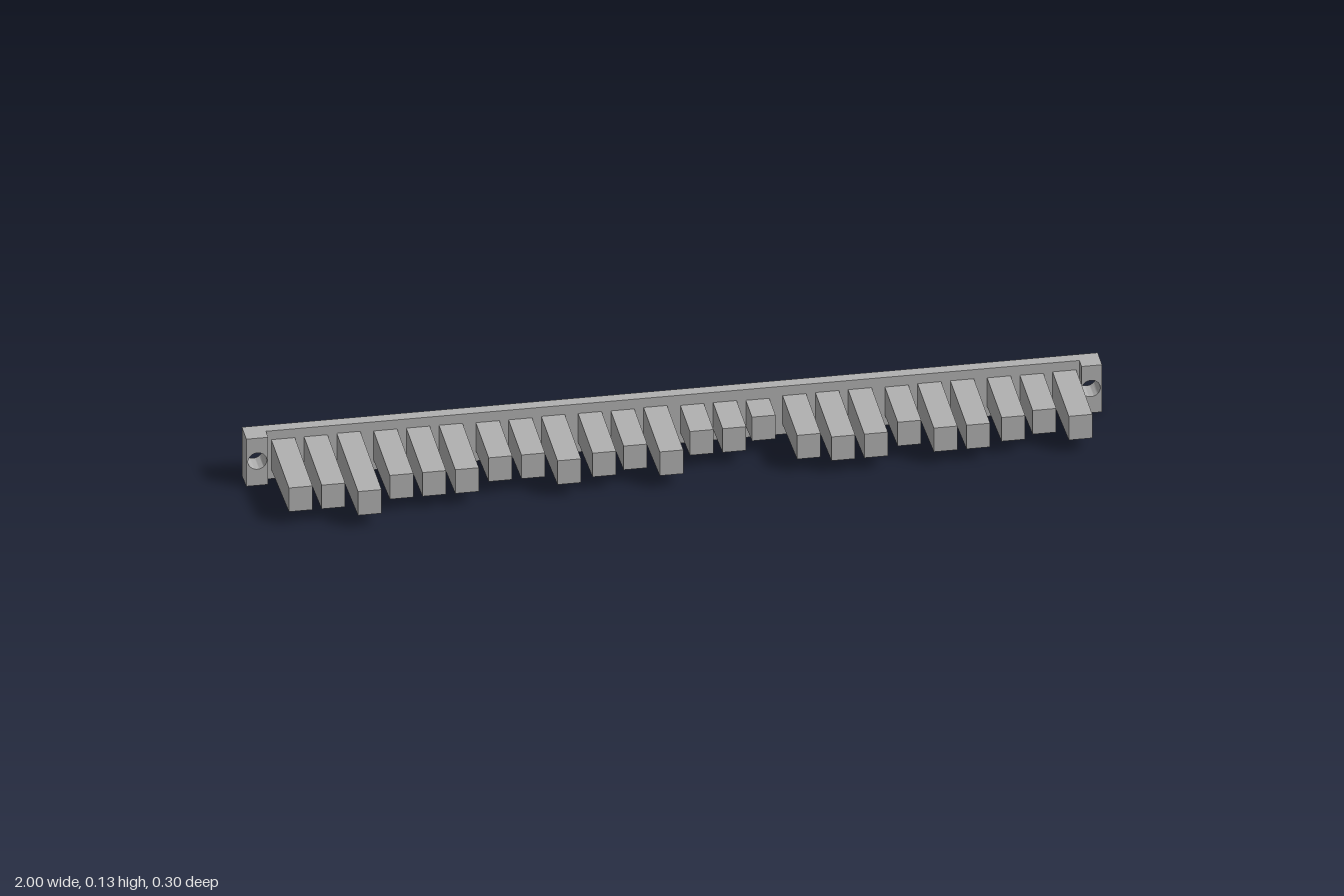
import * as THREE from 'three';
import { toCreasedNormals } from 'three/addons/utils/BufferGeometryUtils.js';

const MID = 0.0635;          // height of the centre line
const BACK = -0.148, FACE = -0.12, TAB = -0.092;
const DRAFT = Math.tan(THREE.MathUtils.degToRad(2));

// Narrow the top and bottom towards +z; halfHeight is the size at z = zRef
function draft(geo, halfHeight, zRef) {
  const p = geo.attributes.position;
  for (let i = 0; i < p.count; i++) {
    const k = 1 + ((zRef - p.getZ(i)) * DRAFT) / halfHeight;
    p.setY(i, MID + (p.getY(i) - MID) * k);
  }
  geo.computeVertexNormals();
  return geo;
}

// Rectangular plate with screw holes, from z0 to z1
function plate(x0, x1, z0, z1, holes) {
  const s = new THREE.Shape();
  s.moveTo(x0, 0);
  s.lineTo(x1, 0);
  s.lineTo(x1, 2 * MID);
  s.lineTo(x0, 2 * MID);
  s.closePath();
  for (const x of holes) {
    s.holes.push(new THREE.Path().absarc(x, MID + 0.002, 0.022, 0, Math.PI * 2, true));
  }
  const geo = new THREE.ExtrudeGeometry(s, { depth: z1 - z0, bevelEnabled: false, curveSegments: 24 });
  geo.translate(0, 0, z0);
  return toCreasedNormals(draft(geo, MID, BACK), 0.6);
}

export function createModel() {
  const model = new THREE.Group();
  const grey = new THREE.MeshStandardMaterial({ color: 0xb0b0b0 });
  grey.name = 'plain grey';
  const add = (name, geo) => {
    const mesh = new THREE.Mesh(geo, grey);
    mesh.name = name;
    model.add(mesh);
  };

  // Backing bar and the thicker mounting tabs at its ends
  add('backBar', plate(-1, 1, BACK, FACE, [-0.974, 0.974]));
  add('rightTab', plate(-1, -0.949, FACE, TAB, [-0.974]));
  add('leftTab', plate(0.952, 1, FACE, TAB, [0.974]));

  // Teeth in groups of three, each ending at its own depth
  const tips = [
    0.104, 0.104, 0.15, 0.086, 0.086, 0.086, 0.043, 0.043,
    0.086, 0.064, 0.043, 0.086, 0.001, 0.001, -0.042, 0.064,
    0.086, 0.086, 0.043, 0.086, 0.086, 0.064, 0.043, 0.086,
  ];
  tips.forEach((tip, i) => {
    const x = -0.909 + Math.floor(i / 3) * 0.239 + (i % 3) * 0.0765;
    const root = FACE - 0.005;
    const geo = new THREE.BoxGeometry(0.055, 0.062, tip - root);
    geo.translate(x, MID + 0.0005, (tip + root) / 2);
    add(`tooth${i + 1}`, draft(geo, 0.031, tip));
  });
  return model;
}
